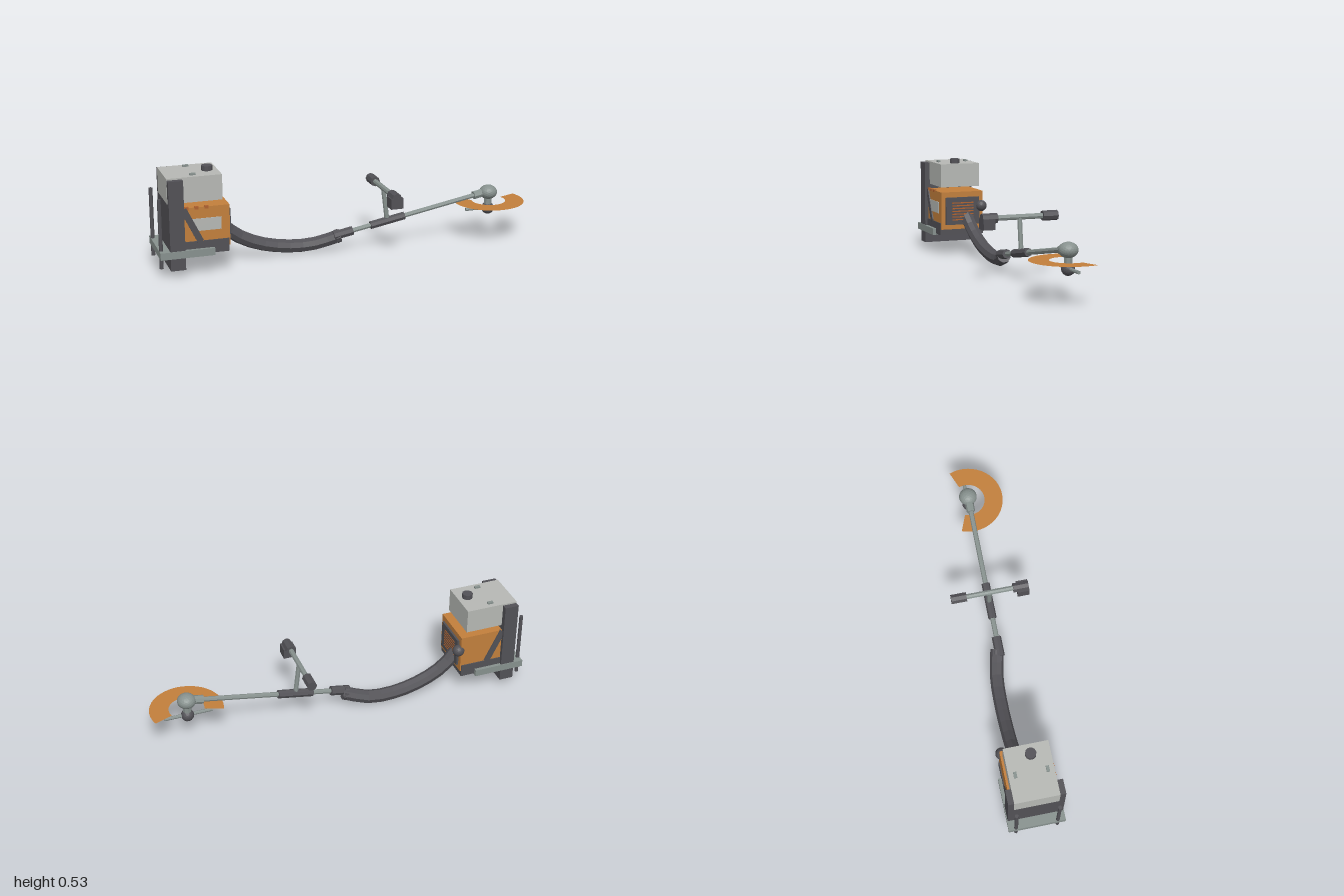
import * as THREE from 'three';

export function createModel() {
  const root = new THREE.Group();
  const mat = (name, color, extra = {}) => {
    const m = new THREE.MeshStandardMaterial({ color, flatShading: true, ...extra });
    m.name = name;
    return m;
  };
  const dark = mat('dark plastic', 0x525156);
  const orange = mat('orange casing', 0xc27f3c);
  const orangeSheet = mat('orange sheet', 0xc27f3c, { side: THREE.DoubleSide });
  const slot = mat('rusty slot', 0xb0622f);
  const pale = mat('pale tank', 0xb6b8b4);
  const metal = mat('grey metal', 0x87918e);

  const add = (name, geo, material) => {
    const mesh = new THREE.Mesh(geo, material);
    mesh.name = name;
    root.add(mesh);
    return mesh;
  };
  // Box given by its limits on each axis
  const box = (name, material, x0, x1, y0, y1, z0, z1) => {
    const mesh = add(name, new THREE.BoxGeometry(x1 - x0, y1 - y0, z1 - z0), material);
    mesh.position.set((x0 + x1) / 2, (y0 + y1) / 2, (z0 + z1) / 2);
    return mesh;
  };
  // Cylinder running between two points
  const rod = (name, material, a, b, r, sides = 8) => {
    const p = new THREE.Vector3(...a), q = new THREE.Vector3(...b);
    const mesh = add(name, new THREE.CylinderGeometry(r, r, p.distanceTo(q), sides), material);
    mesh.position.copy(p).lerp(q, 0.5);
    mesh.quaternion.setFromUnitVectors(new THREE.Vector3(0, 1, 0), q.sub(p).normalize());
    return mesh;
  };
  const ball = (name, material, r, x, y, z) => {
    const mesh = add(name, new THREE.IcosahedronGeometry(r, 3), material);
    mesh.position.set(x, y, z);
    return mesh;
  };

  // Backpack frame
  box('backPlate', dark, -0.95, -0.875, 0.037, 0.494, -0.142, 0.142);
  box('baseFrame', metal, -1, -0.727, 0.1, 0.137, -0.146, 0.146);
  for (const s of [-1, 1]) {
    rod('rearBar', dark, [-0.99, 0.045, s * 0.107], [-0.99, 0.4, s * 0.107], 0.01);
  }

  // Engine
  box('engineBase', dark, -0.875, -0.65, 0.108, 0.175, -0.128, 0.128);
  box('engineCasing', orange, -0.88, -0.644, 0.139, 0.348, -0.123, 0.123);
  box('grillePanel', dark, -0.65, -0.633, 0.165, 0.318, -0.098, 0.098);
  for (let i = 0; i < 7; i++) {
    const y = 0.193 + i * 0.0157;
    box('grilleSlot', slot, -0.634, -0.631, y - 0.003, y + 0.003, -0.063, 0.063);
  }
  for (const x of [-0.86, -0.81, -0.76]) {
    box('casingTab', slot, x - 0.01, x + 0.01, 0.339, 0.353, 0.115, 0.128);
  }
  box('sidePlate', pale, -0.84, -0.687, 0.227, 0.29, 0.12, 0.1265);
  for (const s of [-1, 1]) {
    const strut = add('sideStrut', new THREE.BoxGeometry(0.032, 0.19, 0.012), dark);
    strut.position.set(-0.835, 0.258, s * 0.124);
    strut.rotation.z = 0.45;
  }
  ball('primerBulb', dark, 0.031, -0.635, 0.266, -0.11);

  // Tank
  box('tank', pale, -0.952, -0.675, 0.373, 0.502, -0.113, 0.113);
  for (const s of [-1, 1]) {
    box('tankLug', metal, -0.83, -0.8, 0.368, 0.511, s * 0.08 - 0.008, s * 0.08 + 0.008);
  }
  rod('tankCap', dark, [-0.728, 0.5, 0.014], [-0.728, 0.527, 0.014], 0.028, 10);

  // Flexible hose
  const hosePath = new THREE.CatmullRomCurve3([
    [-0.66, 0.21, -0.03], [-0.59, 0.14, -0.041], [-0.47, 0.076, -0.045], [-0.31, 0.038, -0.046],
    [-0.16, 0.038, -0.038], [-0.025, 0.079, -0.008],
  ].map((p) => new THREE.Vector3(...p)));
  add('hose', new THREE.TubeGeometry(hosePath, 10, 0.036, 8), dark);
  rod('hoseEnd', dark, [-0.03, 0.078, -0.01], [-0.05, 0.07, -0.014], 0.036);

  // Shaft, following one sloping line
  const onShaft = (x) => [x, 0.093 + 0.183 * x, 0];
  rod('hoseCoupler', dark, onShaft(-0.065), onShaft(0.037), 0.025);
  rod('shaft', metal, onShaft(0), onShaft(0.8), 0.013);
  rod('shaftSleeve', dark, onShaft(0.137), onShaft(0.325), 0.022);
  rod('shaftSocket', metal, onShaft(0.72), onShaft(0.8), 0.023);

  // Handlebar
  rod('handlePost', metal, [0.23, 0.135, 0], [0.208, 0.315, 0], 0.013);
  rod('handlebar', metal, [0.208, 0.315, -0.14], [0.208, 0.315, 0.14], 0.014);
  for (const s of [-1, 1]) {
    rod('handGrip', dark, [0.208, 0.315, s * 0.123], [0.208, 0.315, s * 0.204], 0.026);
  }
  box('throttle', dark, 0.176, 0.242, 0.26, 0.315, 0.143, 0.205);

  // Cutting head
  ball('gearHead', metal, 0.048, 0.805, 0.237, 0).scale.y = 0.8;
  rod('headNeck', metal, [0.805, 0.16, 0], [0.805, 0.23, 0], 0.022);
  ball('cutterHub', dark, 0.033, 0.805, 0.148, 0);
  rod('cutterBar', metal, [0.677, 0.15, 0], [0.925, 0.15, 0], 0.009);

  // Guard: flat open ring with its gap toward the back
  const gap = 0.37;
  const guard = add('guard', new THREE.RingGeometry(0.09, 0.188, 28, 1, Math.PI - gap, Math.PI + 2 * gap), orangeSheet);
  guard.rotation.x = -Math.PI / 2;
  guard.position.set(0.808, 0.19, 0);

  return root;
}
